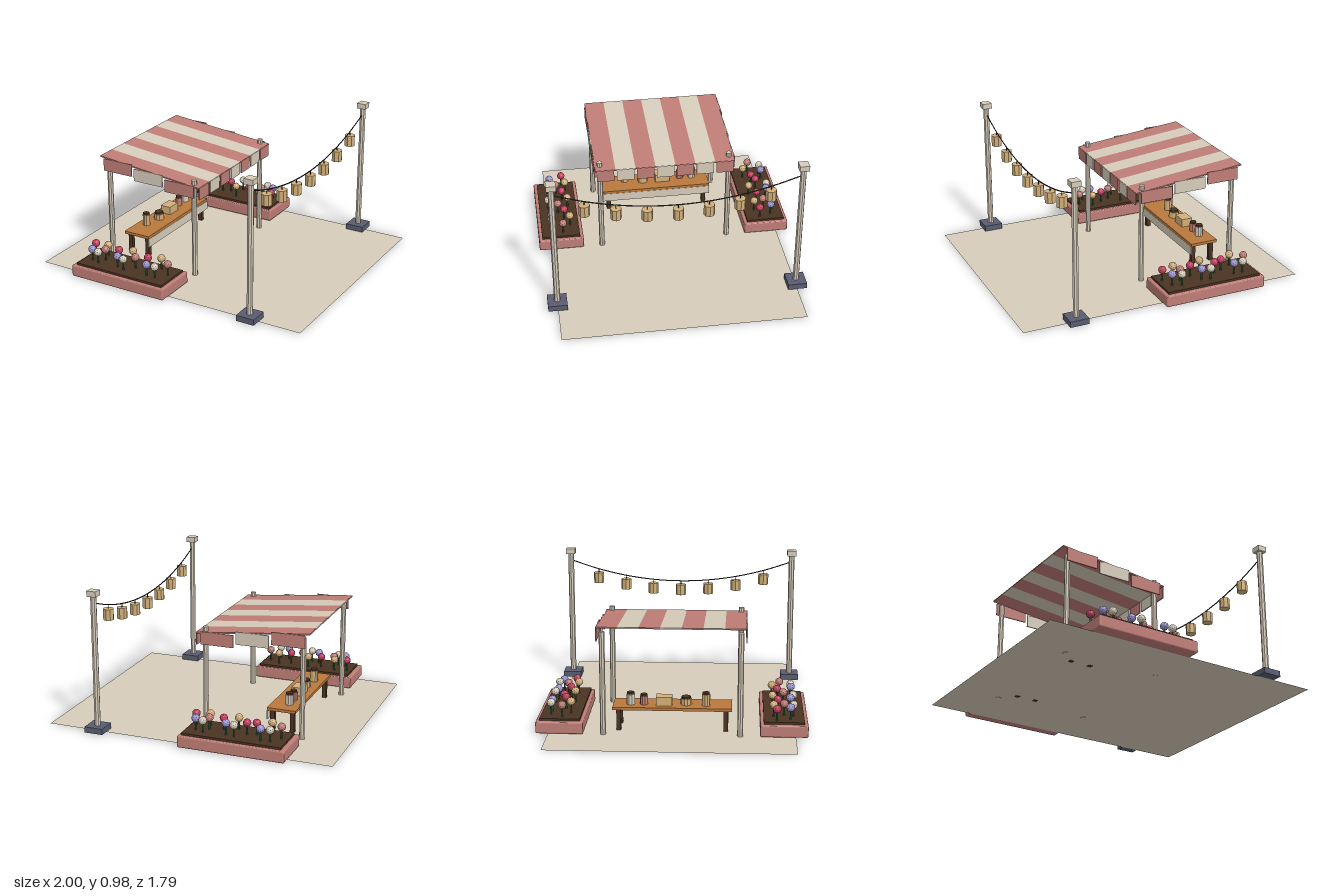
import * as THREE from 'three';
import { RoundedBoxGeometry } from 'three/addons/geometries/RoundedBoxGeometry.js';

function material(name, color, side = THREE.FrontSide) {
  const m = new THREE.MeshStandardMaterial({ color, side });
  m.name = name;
  m.flatShading = true;
  return m;
}

export function createModel() {
  const root = new THREE.Group();
  root.name = 'marketStall';

  const cream = material('cream', 0xd6ccba, THREE.DoubleSide);
  const red = material('dustyRed', 0xbf7d76);
  const slate = material('slate', 0x585d70);
  const soil = material('darkBrown', 0x4a3322);
  const tan = material('tan', 0xd2b07a);
  const wood = material('wood', 0xb9783c);
  const green = material('leafGreen', 0x2f6b45);
  const crimson = material('crimson', 0xc43d5e);
  const lavender = material('lavender', 0x9a94d2);
  const black = material('black', 0x26262a);

  function add(parent, name, geometry, mat, x, y, z) {
    const mesh = new THREE.Mesh(geometry, mat);
    mesh.name = name;
    mesh.position.set(x, y, z);
    parent.add(mesh);
    return mesh;
  }
  function group(name) {
    const g = new THREE.Group();
    g.name = name;
    root.add(g);
    return g;
  }
  const box = (w, h, d) => new THREE.BoxGeometry(w, h, d);
  const cyl = (r, h, n = 8) => new THREE.CylinderGeometry(r, r, h, n);

  // Paved ground sheet
  const ground = add(root, 'ground', new THREE.PlaneGeometry(2, 1.63), cream, 0, 0.002, 0);
  ground.rotation.x = -Math.PI / 2;

  // Stall posts
  const stall = group('stall');
  for (const x of [-0.677, 0.005])
    for (const z of [-0.45, 0.45]) add(stall, 'stallPost', cyl(0.019, 0.7), cream, x, 0.35, z);

  // Sloped striped canopy with a hanging flap for every stripe
  const pitch = 0.97 / 7;
  const canopy = new THREE.Group();
  canopy.name = 'canopy';
  canopy.position.set(-0.334, 0.699, 0);
  canopy.rotation.z = -Math.atan2(0.078, 0.79);
  stall.add(canopy);
  for (let i = 0; i < 7; i++) {
    const mat = i % 2 ? cream : red;
    const z = (i - 3) * pitch;
    add(canopy, 'canopyStripe', box(0.795, 0.009, pitch), mat, 0, 0, z);
    add(stall, 'frontFlap', box(0.008, 0.086, 0.12), mat, 0.06, 0.619, z);
  }

  // Three stepped flaps along each side of the canopy
  for (const side of [-1, 1])
    for (let i = 0; i < 3; i++)
      add(stall, 'sideFlap', box(0.23, 0.087, 0.008), i % 2 ? cream : red,
        -0.585 + i * 0.2475, 0.683 - i * 0.027, side * 0.486);

  // Table
  const table = group('table');
  add(table, 'tableTop', box(0.2, 0.02, 0.79), wood, -0.51, 0.155, 0);
  add(table, 'tableSkirt', box(0.008, 0.062, 0.79), cream, -0.412, 0.114, 0);
  for (const x of [-0.58, -0.44])
    for (const z of [-0.355, 0.355]) add(table, 'tableLeg', box(0.03, 0.145, 0.03), soil, x, 0.0725, z);

  // Jars with lids: x, z, radius, body height, material
  const goods = group('goods');
  const jars = [
    [-0.54, 0.223, 0.027, 0.078, tan],
    [-0.52, 0.09, 0.037, 0.042, tan],
    [-0.53, -0.19, 0.026, 0.058, red],
    [-0.53, -0.278, 0.028, 0.07, cream],
  ];
  for (const [x, z, r, h, mat] of jars) {
    add(goods, 'jar', cyl(r, h, 10), mat, x, 0.165 + h / 2, z);
    add(goods, 'jarLid', cyl(r * 0.85, 0.014, 10), soil, x, 0.172 + h, z);
  }
  add(goods, 'parcel', box(0.08, 0.058, 0.107), tan, -0.525, 0.194, -0.055);

  // Flower planters: x, z of each bloom, grouped by colour
  const blooms = [
    [crimson, [[-0.645, 0.69], [-0.445, 0.7], [-0.21, 0.7], [-0.46, -0.72], [-0.4, -0.74], [-0.23, -0.715], [-0.03, -0.7]]],
    [tan, [[-0.555, 0.67], [-0.355, 0.665], [-0.125, 0.665], [-0.55, -0.675], [-0.32, -0.675], [-0.12, -0.675]]],
    [red, [[-0.53, 0.74], [-0.285, 0.74], [-0.04, 0.72], [-0.63, -0.725], [-0.14, -0.745]]],
    [lavender, [[-0.61, 0.78], [-0.4, 0.785], [-0.16, 0.795], [-0.515, -0.805], [-0.275, -0.795], [-0.06, -0.785]]],
    [cream, [[-0.55, 0.8], [-0.34, 0.805], [-0.095, 0.795], [-0.58, -0.805], [-0.335, -0.81], [-0.12, -0.81]]],
  ];
  for (const side of [-1, 1]) {
    const planter = group('planter');
    add(planter, 'planterBox', new RoundedBoxGeometry(0.733, 0.081, 0.315, 2, 0.01), red, -0.338, 0.046, side * 0.738);
    add(planter, 'planterSoil', box(0.68, 0.02, 0.268), soil, -0.335, 0.091, side * 0.738);
  }
  const flowers = group('flowers');
  const head = new THREE.IcosahedronGeometry(0.028, 1);
  const stem = cyl(0.006, 0.085, 6);
  for (const [mat, spots] of blooms)
    spots.forEach(([x, z], i) => {
      add(flowers, 'flowerStem', stem, green, x, 0.14, z);
      add(flowers, 'flowerHead', head, mat, x, 0.182, z).rotation.y = i;
    });

  // Lamp posts
  const lights = group('lanternLine');
  for (const z of [-0.815, 0.815]) {
    add(lights, 'lampPostBase', box(0.13, 0.04, 0.13), slate, 0.64, 0.024, z);
    add(lights, 'lampPost', cyl(0.021, 0.92), cream, 0.64, 0.49, z);
    add(lights, 'lampPostCap', box(0.065, 0.038, 0.065), cream, 0.64, 0.959, z);
  }

  // Sagging cord and its lanterns
  const cordY = (z) => 0.74 + 0.229 * z * z;
  const points = [];
  for (let i = -4; i <= 4; i++) points.push(new THREE.Vector3(0.64, cordY(i * 0.203), i * 0.203));
  add(lights, 'cord', new THREE.TubeGeometry(new THREE.CatmullRomCurve3(points), 32, 0.004, 6), black, 0, 0, 0);
  for (let i = -3; i <= 3; i++) {
    const z = i * 0.203;
    const y = cordY(z);
    add(lights, 'lanternHook', cyl(0.003, 0.03, 5), black, 0.64, y - 0.014, z);
    add(lights, 'lantern', cyl(0.037, 0.076), tan, 0.64, y - 0.064, z);
  }

  return root;
}
